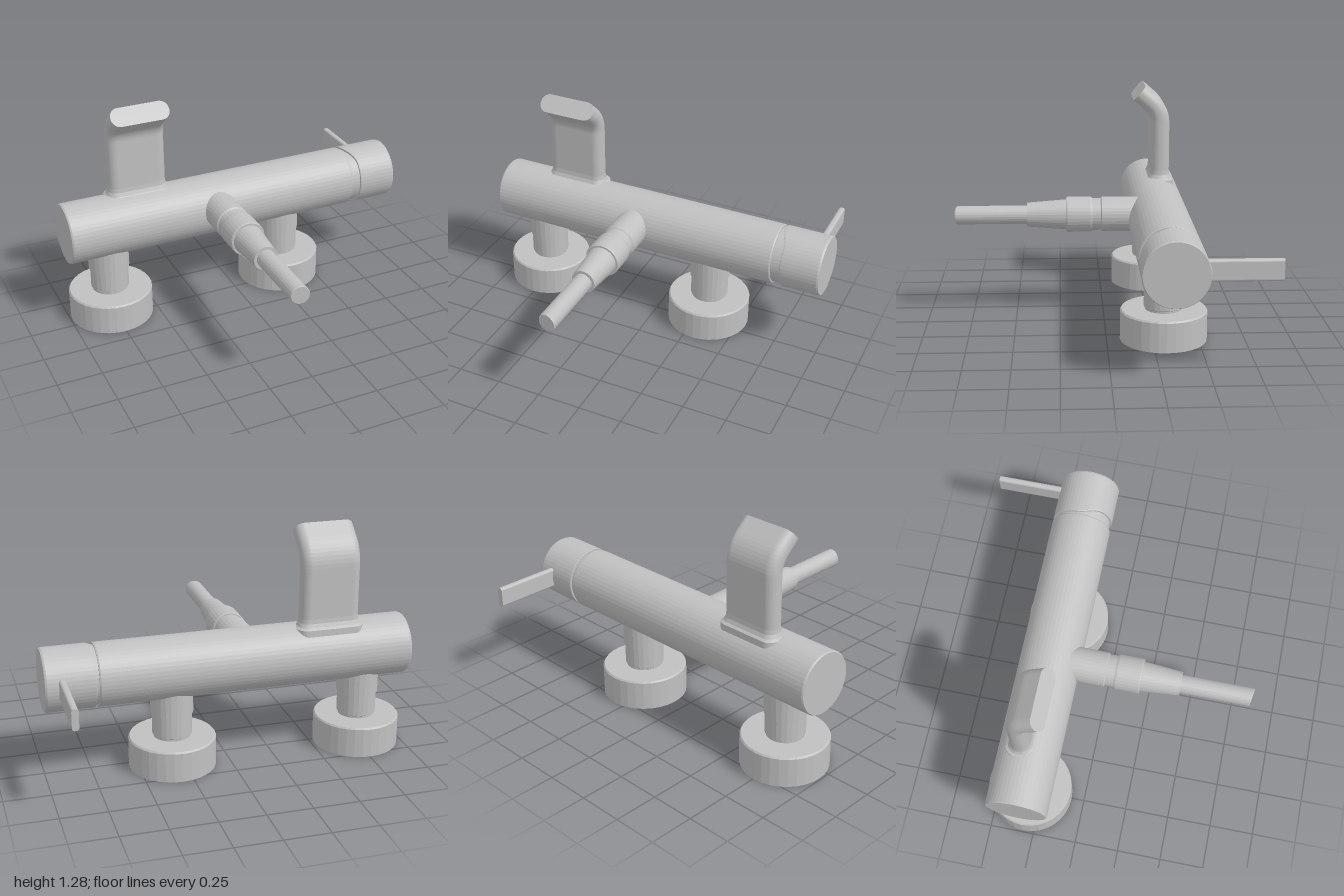
import * as THREE from 'three';

const AXIS_Y = 0.565, AXIS_Z = -0.31;

export function createModel() {
  const model = new THREE.Group();
  const chrome = new THREE.MeshStandardMaterial({ color: 0xc0c0c0, flatShading: true });
  chrome.name = 'brushed chrome';

  const add = (name, geometry, x = 0, y = 0, z = 0) => {
    const mesh = new THREE.Mesh(geometry, chrome);
    mesh.name = name;
    mesh.position.set(x, y, z);
    model.add(mesh);
    return mesh;
  };
  // Profile points are [radius, distance along axis]
  const turned = (points, axis = 'y', segments = 36) => {
    const g = new THREE.LatheGeometry(points.map(([r, h]) => new THREE.Vector2(r, h)), segments);
    if (axis === 'x') g.rotateZ(-Math.PI / 2);
    if (axis === 'z') g.rotateX(Math.PI / 2);
    return g;
  };
  const moveVertices = (g, rule) => {
    const p = g.attributes.position, v = new THREE.Vector3();
    for (let i = 0; i < p.count; i++) {
      rule(v.fromBufferAttribute(p, i));
      p.setXYZ(i, v.x, v.y, v.z);
    }
    g.computeVertexNormals();
    return g;
  };
  const roundedRect = (w, h, r) => {
    const s = new THREE.Shape(), a = w / 2 - r, b = h / 2 - r;
    s.absarc(a, b, r, 0, Math.PI / 2);
    s.absarc(-a, b, r, Math.PI / 2, Math.PI);
    s.absarc(-a, -b, r, Math.PI, Math.PI * 1.5);
    s.absarc(a, -b, r, Math.PI * 1.5, Math.PI * 2);
    s.closePath();
    return s;
  };

  // Main horizontal barrel, with a narrower core inside the joint
  add('barrel', turned([[0, -1], [0.165, -1], [0.17, -0.992], [0.17, 0.715], [0.166, 0.722], [0, 0.722]], 'x', 48), 0, AXIS_Y, AXIS_Z);
  add('jointCore', turned([[0, 0.71], [0.158, 0.71], [0.158, 0.83], [0, 0.83]], 'x', 48), 0, AXIS_Y, AXIS_Z);

  // Rotating end cap: its inner edge steps away from the barrel at the front
  const cap = turned([[0.15, 0.737], [0.168, 0.737], [0.17, 0.742], [0.17, 0.99], [0.165, 1], [0, 1]], 'x', 48);
  moveVertices(cap, v => {
    if (v.x < 0.8) v.x += 0.04 * THREE.MathUtils.smoothstep(v.z, -0.02, 0.12);
  });
  add('endCap', cap, 0, AXIS_Y, AXIS_Z);

  // Flat lever at the back of the cap
  add('lever', new THREE.ExtrudeGeometry(roundedRect(0.036, 0.113, 0.014), { depth: 0.4, bevelEnabled: false, curveSegments: 5 }), 0.912, AXIS_Y, -0.84);

  // Two feet with necks
  for (const x of [-0.755, 0.31]) {
    add('footFlange', turned([[0, 0], [0.237, 0], [0.237, 0.163], [0.23, 0.172], [0, 0.172]], 'y', 32), x, 0, AXIS_Z);
    add('footNeck', turned([[0, 0.16], [0.102, 0.16], [0.102, 0.183], [0.108, 0.187], [0.108, 0.305], [0.1, 0.31], [0, 0.31]], 'y', 24), x, 0, AXIS_Z);
    add('footSocket', turned([[0, 0.308], [0.115, 0.308], [0.115, 0.45], [0, 0.45]], 'y', 24), x, 0, AXIS_Z);
  }

  // Stepped hose connector and hose at the front
  add('hoseOutlet', turned([[0, -0.26], [0.098, -0.26], [0.098, 0.01], [0.09, 0.017], [0.09, 0.07], [0, 0.07]], 'z', 32), -0.125, 0.59, 0);
  add('hoseNut', turned([[0, 0.065], [0.096, 0.065], [0.1, 0.075], [0.1, 0.205], [0.096, 0.212], [0, 0.212]], 'z', 32), -0.125, 0.59, 0);
  add('hoseCone', turned([[0, 0.2], [0.086, 0.2], [0.068, 0.432], [0, 0.432]], 'z', 32), -0.125, 0.59, 0);
  const hose = turned([[0, 0.42], [0.052, 0.42], [0.052, 0.825], [0.049, 0.831], [0, 0.831]], 'z', 24);
  moveVertices(hose, v => { if (v.z > 0.8) v.z += 0.16 * v.x; });
  add('hose', hose, -0.125, 0.59, 0);

  // Flat spout: rounded section swept up, then bent forward
  const BEND = 0.855, R = 0.15, stations = [];
  for (const [y, flare] of [[0.62, 0.03], [0.725, 0.025], [0.735, 0.012], [0.755, 0.003], [0.78, 0], [1.06, 0]]) {
    stations.push({ y, z: -0.345, a: 0, flare });
  }
  for (let i = 1; i <= 8; i++) {
    const a = BEND * i / 8;
    stations.push({ y: 1.06 + R * Math.sin(a), z: -0.345 + R * (1 - Math.cos(a)), a, flare: 0 });
  }
  const last = stations[stations.length - 1];
  stations.push({ y: last.y + 0.095 * Math.cos(BEND), z: last.z + 0.095 * Math.sin(BEND), a: BEND, flare: 0 });

  const section = roundedRect(0.33, 0.107, 0.05).getPoints(6).filter((p, i, all) => i === 0 || (p.distanceTo(all[i - 1]) > 1e-5 && p.distanceTo(all[0]) > 1e-5));
  const n = section.length, pos = [], idx = [];
  for (const s of stations) {
    for (const p of section) {
      const px = p.x * (1 + s.flare / 0.165), d = p.y * (1 + s.flare / 0.0535);
      pos.push(px, s.y - d * Math.sin(s.a), s.z + d * Math.cos(s.a));
    }
  }
  for (let k = 0; k < stations.length - 1; k++) {
    for (let i = 0; i < n; i++) {
      const a = k * n + i, b = k * n + (i + 1) % n;
      idx.push(a, a + n, b, b, a + n, b + n);
    }
  }
  const end = (stations.length - 1) * n;
  for (let i = 1; i < n - 1; i++) idx.push(end, end + i + 1, end + i);
  const spout = new THREE.BufferGeometry();
  spout.setAttribute('position', new THREE.Float32BufferAttribute(pos, 3));
  spout.setIndex(idx);
  spout.computeVertexNormals();
  add('spout', spout, -0.555, 0, 0);

  return model;
}
